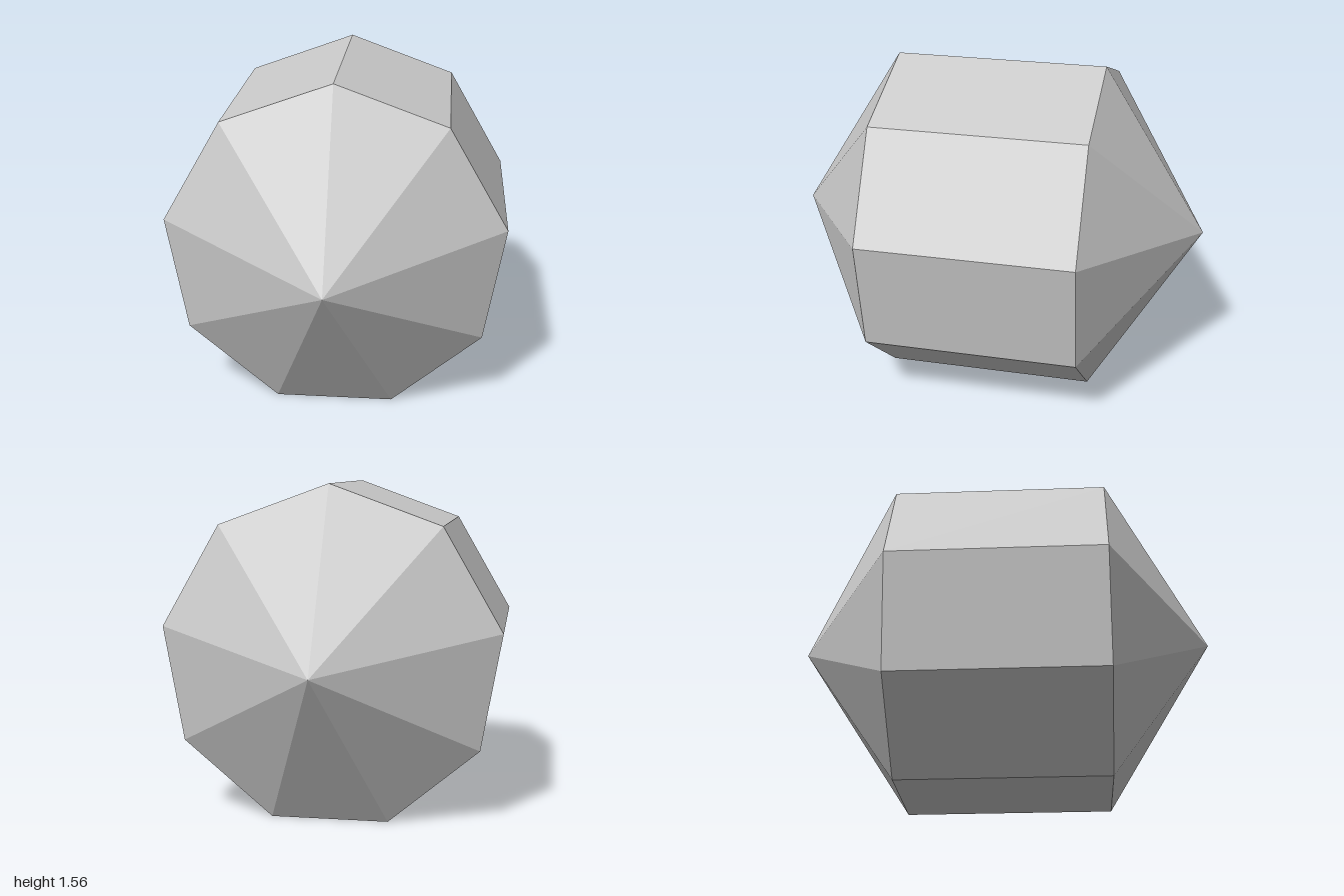
import * as THREE from 'three';

const SIDES = 9;
const RADIUS = 0.802;
const HALF_BODY = 0.5; // half length of the straight part
const HALF_LENGTH = 1; // centre to each tip

export function createModel() {
  const group = new THREE.Group();
  group.name = 'pointedPrism';

  // Nine-sided prism with a pyramid on each end, turned from one profile
  const profile = [
    new THREE.Vector2(0, -HALF_LENGTH),
    new THREE.Vector2(RADIUS, -HALF_BODY),
    new THREE.Vector2(RADIUS, HALF_BODY),
    new THREE.Vector2(0, HALF_LENGTH),
  ];
  const geometry = new THREE.LatheGeometry(profile, SIDES);

  // Lay the axis along z with a corner on top and a flat side on the ground
  geometry.rotateX(-Math.PI / 2);
  geometry.translate(0, RADIUS * Math.cos(Math.PI / SIDES), 0);

  const material = new THREE.MeshStandardMaterial({ color: 0xcccccc, flatShading: true });
  const body = new THREE.Mesh(geometry, material);
  body.name = 'prismBody';
  group.add(body);
  return group;
}
